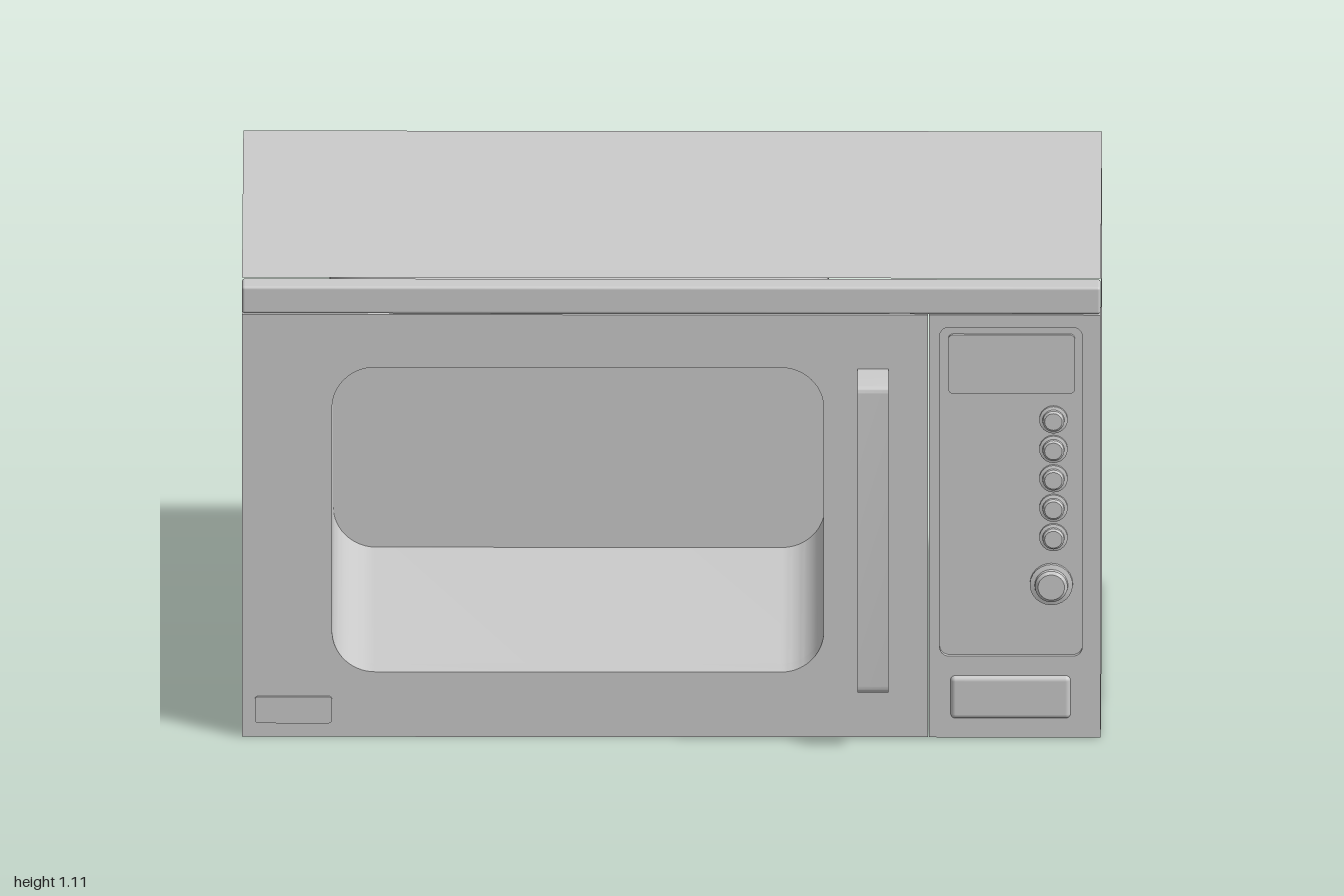
import * as THREE from 'three';
import { toCreasedNormals } from 'three/addons/utils/BufferGeometryUtils.js';
import { RoundedBoxGeometry } from 'three/addons/geometries/RoundedBoxGeometry.js';

const grey = new THREE.MeshStandardMaterial({ color: 0xcccccc });

// Rectangle outline with rounded corners
function roundRect(x0, x1, y0, y1, r = 0) {
  const s = new THREE.Shape();
  if (r === 0) {
    return s.moveTo(x0, y0).lineTo(x1, y0).lineTo(x1, y1).lineTo(x0, y1).closePath();
  }
  s.absarc(x1 - r, y0 + r, r, -Math.PI / 2, 0);
  s.absarc(x1 - r, y1 - r, r, 0, Math.PI / 2);
  s.absarc(x0 + r, y1 - r, r, Math.PI / 2, Math.PI);
  s.absarc(x0 + r, y0 + r, r, Math.PI, Math.PI * 1.5);
  return s.closePath();
}

// Straight extrusion between two z positions
function slab(shape, z0, z1, hole) {
  if (hole) shape.holes.push(hole);
  const geo = new THREE.ExtrudeGeometry(shape, { depth: z1 - z0, bevelEnabled: false, curveSegments: 10 });
  geo.translate(0, 0, z0);
  return toCreasedNormals(geo, 0.5);
}

export function createModel() {
  const model = new THREE.Group();
  model.name = 'microwaveOven';
  const add = (name, geometry, x = 0, y = 0, z = 0) => {
    const mesh = new THREE.Mesh(geometry, grey);
    mesh.name = name;
    mesh.position.set(x, y, z);
    model.add(mesh);
    return mesh;
  };

  const bodyFront = 0.43, face = 0.49, back = -0.62, cavityBack = -0.4;
  const windowShape = (grow = 0) => roundRect(-0.79 - grow, 0.355 + grow, 0.16 - grow, 0.91 + grow, 0.1 + grow);

  // Casing: a box without its front face
  const casing = new THREE.BoxGeometry(2, 1.11, bodyFront - back);
  const index = Array.from(casing.index.array);
  index.splice(24, 6);
  casing.setIndex(index);
  casing.clearGroups();
  add('casing', casing, 0, 0.555, (bodyFront + back) / 2);

  // Cooking cavity
  add('cavityWalls', slab(windowShape(0.01), cavityBack, bodyFront, windowShape()));
  add('cavityBack', new THREE.ShapeGeometry(windowShape(0.01), 10), 0, 0, cavityBack);

  // Door frame and top trim
  add('door', slab(roundRect(-1, 0.598, 0, 1.04), bodyFront, face, windowShape()));
  add('topTrim', new RoundedBoxGeometry(2, 0.067, 0.064, 3, 0.007), 0, 1.0765, 0.463);
  add('doorPlate', slab(roundRect(-0.97, -0.79, 0.035, 0.1, 0.008), face, 0.496));

  // Handle: bracket profile drawn in (z, y), extruded across x
  const bracket = new THREE.Shape();
  bracket.moveTo(0.485, 0.15).lineTo(0.6, 0.15).quadraticCurveTo(0.62, 0.15, 0.62, 0.17);
  bracket.lineTo(0.62, 0.89).quadraticCurveTo(0.62, 0.907, 0.6, 0.907).lineTo(0.485, 0.907);
  bracket.lineTo(0.485, 0.872).lineTo(0.55, 0.872).quadraticCurveTo(0.566, 0.872, 0.566, 0.855);
  bracket.lineTo(0.566, 0.2).quadraticCurveTo(0.566, 0.185, 0.55, 0.185).lineTo(0.485, 0.185).closePath();
  const handle = slab(bracket, -0.036, 0.036);
  handle.rotateY(-Math.PI / 2);
  add('handle', handle, 0.47);

  // Control panel with a shallow recess
  const floor = 0.478;
  add('controlFrame', slab(roundRect(0.6, 1, 0, 1.04), bodyFront, face, roundRect(0.625, 0.957, 0.2, 1.01, 0.022)));
  add('controlFloor', slab(roundRect(0.62, 0.962, 0.195, 1.015), bodyFront, floor));
  add('display', slab(roundRect(0.645, 0.94, 0.845, 0.99, 0.012), floor, 0.486));
  add('doorButton', new RoundedBoxGeometry(0.28, 0.105, 0.03, 3, 0.012), 0.79, 0.1, 0.486);

  // Domed buttons, each with a collar
  function button(name, x, y, r, top) {
    const h = top - floor;
    const points = [[r, 0], [r, h * 0.35], [r * 0.78, h * 0.45], [r * 0.76, h * 0.8], [r * 0.62, h], [0, h]]
      .map(([a, b]) => new THREE.Vector2(a, b));
    const geo = toCreasedNormals(new THREE.LatheGeometry(points, 24), 0.6);
    geo.rotateX(Math.PI / 2);
    add(name, geo, x, y, floor);
  }
  for (let i = 0; i < 5; i++) button('button' + (i + 1), 0.89, 0.78 - i * 0.0725, 0.033, 0.499);
  button('startButton', 0.885, 0.375, 0.05, 0.507);

  return model;
}
